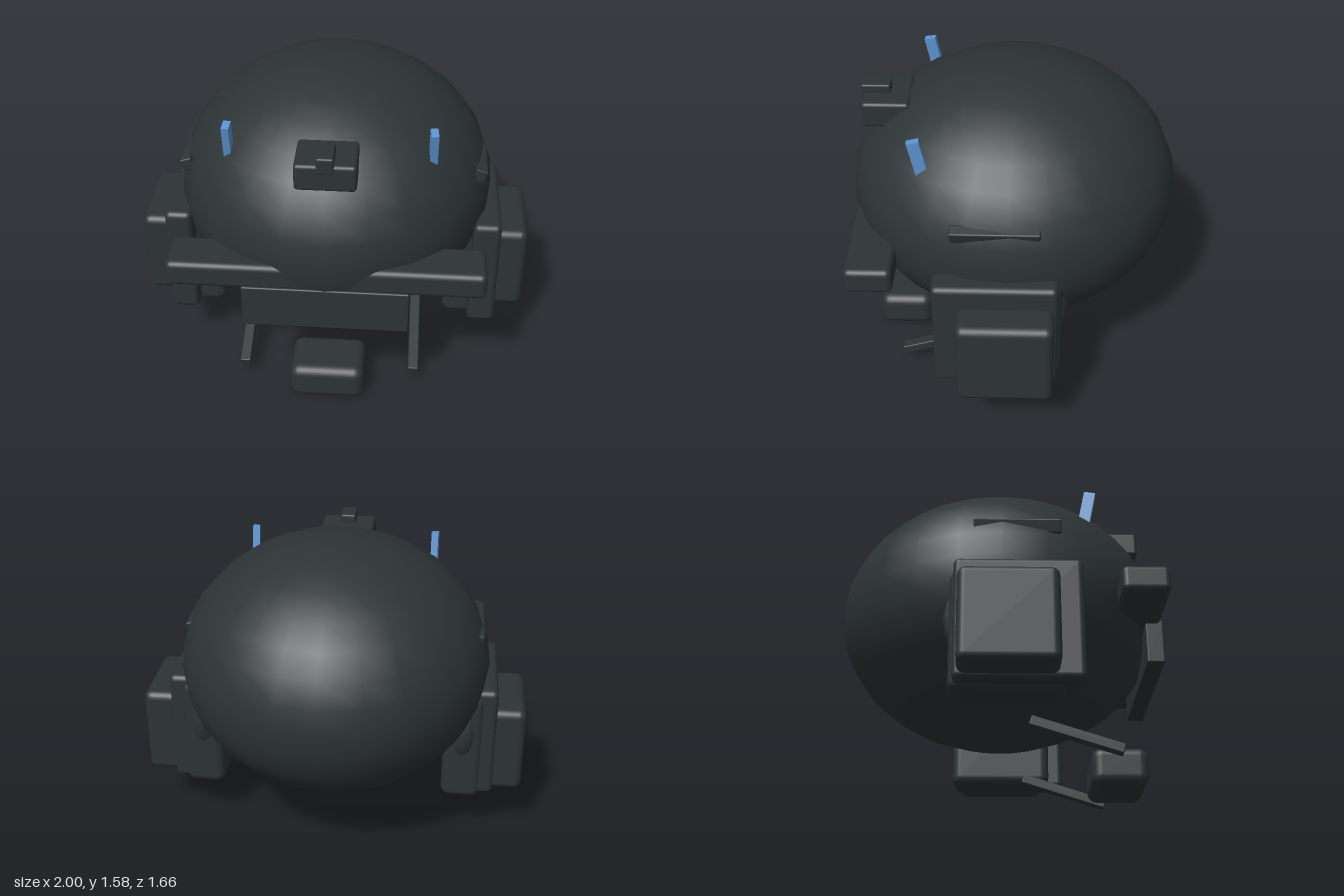
import * as THREE from 'three';
import { RoundedBoxGeometry } from 'three/addons/geometries/RoundedBoxGeometry.js';

export function createModel() {
  const model = new THREE.Group();
  model.name = 'helmet';

  const charcoal = new THREE.MeshStandardMaterial({ color: 0x2d3436 });
  charcoal.name = 'charcoal';
  const blue = new THREE.MeshStandardMaterial({ color: 0x5b93cf });
  blue.name = 'blue';

  const add = (name, geometry, material = charcoal) => {
    const mesh = new THREE.Mesh(geometry, material);
    mesh.name = name;
    model.add(mesh);
    return mesh;
  };

  // Box given by its extents on each axis, rounded by radius r
  const block = (name, [x0, x1], [y0, y1], [z0, z1], r = 0, material = charcoal) => {
    const size = [x1 - x0, y1 - y0, z1 - z0];
    const geometry = r ? new RoundedBoxGeometry(...size, 3, r) : new THREE.BoxGeometry(...size);
    const mesh = add(name, geometry, material);
    mesh.position.set((x0 + x1) / 2, (y0 + y1) / 2, (z0 + z1) / 2);
    return mesh;
  };

  // Same block on the given side (s = 1 left, -1 right)
  const sideBlock = (s, name, [x0, x1], ...rest) =>
    block(name, s > 0 ? [x0, x1] : [-x1, -x0], ...rest);

  // Shell
  const shell = add('shell', new THREE.SphereGeometry(1, 24, 16));
  shell.scale.set(0.8, 0.655, 0.83);
  shell.position.y = 0.925;

  // Brow bar and front plate
  block('browBar', [-0.76, 0.76], [0.76, 0.895], [0.565, 0.797], 0.03);
  block('frontPlate', [-0.4, 0.4], [0.55, 0.78], [0.72, 0.808], 0.008);

  // Front mount
  block('mountBase', [-0.143, 0.143], [1.305, 1.44], [0.51, 0.745], 0.018);
  block('mountClip', [-0.04, 0.04], [1.4, 1.485], [0.61, 0.755], 0.01);

  // Chin cup
  block('chinCup', [-0.188, 0.188], [0, 0.19], [0.455, 0.735], 0.05);

  for (const s of [1, -1]) {
    const side = s > 0 ? 'left' : 'right';

    // Ear protection, from the head outwards
    const ring = add(side + 'EarRing', new THREE.TorusGeometry(0.21, 0.07, 12, 24));
    ring.rotation.y = Math.PI / 2;
    ring.position.set(s * 0.68, 0.63, 0);
    sideBlock(s, side + 'EarCushion', [0.58, 0.785], [0.24, 0.85], [-0.25, 0.29], 0.05);
    sideBlock(s, side + 'EarPlate', [0.71, 0.85], [0.265, 0.875], [-0.23, 0.375], 0.03);
    sideBlock(s, side + 'EarCup', [0.8, 1], [0.285, 0.755], [-0.21, 0.255], 0.04);

    // Side rail, leaning outwards at its top
    const rail = sideBlock(s, side + 'SideRail', [0.695, 0.755], [1.08, 1.15], [-0.14, 0.285], 0.008);
    rail.rotation.z = -s * 0.32;

    // Blue marker fin
    const fin = sideBlock(s, side + 'Fin', [0.467, 0.503], [1.27, 1.465], [0.41, 0.468], 0, blue);
    fin.rotation.set(0.2, s * 0.1, 0);

    // Chin strap
    const strap = sideBlock(s, side + 'ChinStrap', [0.413, 0.467], [0.123, 0.173], [0.125, 0.59], 0.006);
    strap.rotation.x = 0.31;
  }

  return model;
}
